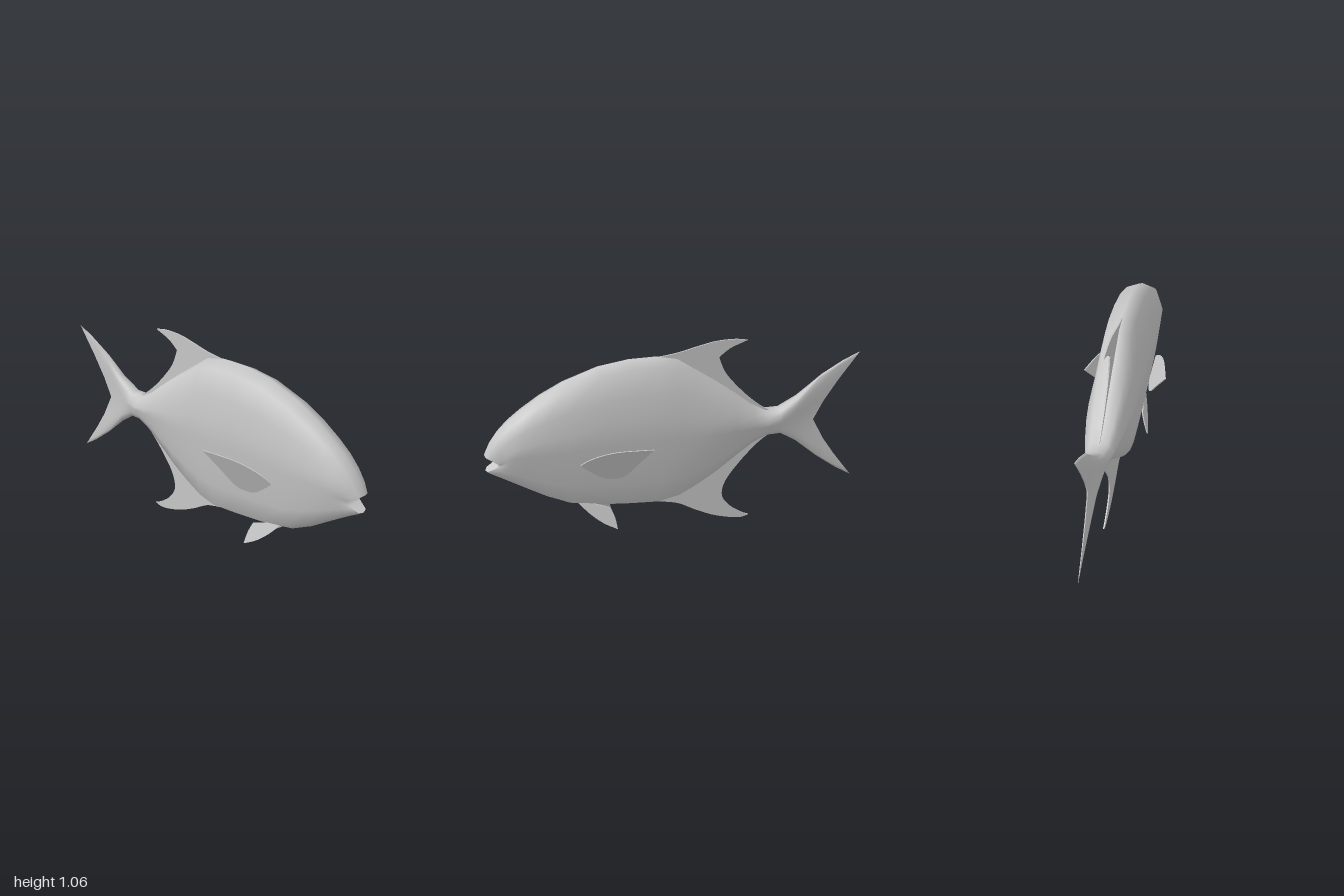
import * as THREE from 'three';

const grey = new THREE.MeshStandardMaterial({ color: 0xc8c8c8, side: THREE.DoubleSide });
grey.name = 'silver grey';

// Half cross-section from back ridge to belly: [height -1..1, width 0..1]
const SECTION = [[1, 0], [0.92, 0.58], [0.6, 0.8], [0.28, 1], [0, 0.93], [-0.33, 0.83], [-0.6, 0.69], [-0.9, 0.53], [-1, 0]];

// Stations from mouth to tail: [z at top and bottom, top y, bottom y, z at mid height, half width]
const STATIONS = [
  [1.0, 0.565, 0.475, 0.925, 0.055], [0.975, 0.615, 0.458, 0.9, 0.07], [0.93, 0.675, 0.432, 0.88, 0.082],
  [0.87, 0.735, 0.395, 0.85, 0.092], [0.8, 0.79, 0.35, 0.8, 0.1], [0.7, 0.86, 0.285, 0.7, 0.108],
  [0.58, 0.925, 0.225, 0.58, 0.114], [0.4, 0.99, 0.19, 0.4, 0.118], [0.25, 1.012, 0.175, 0.25, 0.121],
  [0.1, 1.012, 0.165, 0.1, 0.122], [0, 0.99, 0.19, 0, 0.12], [-0.1, 0.92, 0.25, -0.1, 0.118],
  [-0.2, 0.85, 0.32, -0.2, 0.114], [-0.3, 0.775, 0.4, -0.3, 0.104], [-0.4, 0.692, 0.475, -0.4, 0.088],
  [-0.48, 0.645, 0.51, -0.48, 0.072], [-0.56, 0.65, 0.507, -0.54, 0.058], [-0.66, 0.715, 0.44, -0.6, 0.038],
  [-0.78, 0.82, 0.335, -0.66, 0.022], [-0.9, 0.89, 0.245, -0.71, 0.01], [-0.99, 0.93, 0.19, -0.75, 0.003],
];

// Body and forked tail lofted as one skin; rings bend to make the mouth and the fork
function bodyGeometry() {
  const pos = [], index = [];
  const half = SECTION.length, n = 2 * half - 2;
  const ring = ([zEnd, top, bottom, zMid, w]) => {
    for (let k = 0; k < n; k++) {
      const [t, s] = SECTION[k < half ? k : n - k];
      pos.push((k < half ? 1 : -1) * s * w,
        (top + bottom) / 2 + t * (top - bottom) / 2,
        zMid + (zEnd - zMid) * Math.pow(Math.abs(t), 1.2));
    }
  };
  STATIONS.forEach(ring);
  for (let i = 0; i < STATIONS.length - 1; i++) {
    for (let k = 0; k < n; k++) {
      const a = i * n + k, b = i * n + (k + 1) % n;
      index.push(a, b, a + n, b, b + n, a + n);
    }
  }
  // Mouth and tail-edge caps with their own vertices for a crisp edge
  for (const [station, front] of [[STATIONS[0], true], [STATIONS[STATIONS.length - 1], false]]) {
    const o = pos.length / 3;
    ring(station);
    for (let k = 0; k < half - 1; k++) {
      const r = o + k, r2 = r + 1, l = o + (n - k) % n, l2 = o + n - k - 1;
      const tris = [];
      if (k > 0) tris.push([r, l, r2]);
      if (k < half - 2) tris.push([l, l2, r2]);
      for (const [p, q, s] of tris) index.push(...(front ? [p, q, s] : [p, s, q]));
    }
  }
  const g = new THREE.BufferGeometry();
  g.setAttribute('position', new THREE.Float32BufferAttribute(pos, 3));
  g.setIndex(index);
  g.computeVertexNormals();
  return g;
}

// Thin fin from curved edges given as [z, y]; lean(z, y) gives its sideways position
function fin(name, edges, lean = () => 0, side = 1) {
  const thick = 0.007;
  const shape = new THREE.Shape();
  shape.moveTo(...edges[0][0]);
  for (const edge of edges) shape.splineThru(edge.slice(1).map(p => new THREE.Vector2(...p)));
  const g = new THREE.ExtrudeGeometry(shape, { depth: thick, bevelEnabled: false, curveSegments: 14 });
  const p = g.attributes.position;
  for (let i = 0; i < p.count; i++) {
    const z = p.getX(i), y = p.getY(i), d = p.getZ(i);
    p.setXYZ(i, side * lean(z, y) + thick / 2 - d, y, z);
  }
  g.computeVertexNormals();
  const mesh = new THREE.Mesh(g, grey);
  mesh.name = name;
  return mesh;
}

const DORSAL = [
  [[0.12, 1.005], [0, 1.02], [-0.1, 1.043], [-0.2, 1.063], [-0.3, 1.066], [-0.37, 1.055]],
  [[-0.37, 1.055], [-0.28, 1.02], [-0.22, 0.975]],
  [[-0.22, 0.975], [-0.26, 0.88], [-0.35, 0.77], [-0.44, 0.685], [-0.5, 0.645]],
  [[-0.5, 0.645], [-0.45, 0.63]], [[-0.45, 0.63], [0, 0.95]], [[0, 0.95], [0.12, 1.005]],
];
const ANAL = [
  [[0.12, 0.17], [0, 0.143], [-0.1, 0.088], [-0.2, 0.04], [-0.3, 0.01], [-0.36, 0.002], [-0.405, 0.013]],
  [[-0.405, 0.013], [-0.36, 0.035], [-0.29, 0.09], [-0.25, 0.16], [-0.27, 0.25], [-0.35, 0.36], [-0.44, 0.455], [-0.5, 0.5]],
  [[-0.5, 0.5], [-0.45, 0.53]], [[-0.45, 0.53], [0, 0.23]], [[0, 0.23], [0.12, 0.17]],
];
const PECTORAL = [
  [[0.53, 0.5], [0.49, 0.535], [0.42, 0.57], [0.33, 0.592], [0.17, 0.602]],
  [[0.17, 0.602], [0.24, 0.505], [0.3, 0.42], [0.35, 0.4], [0.42, 0.41], [0.53, 0.5]],
];
const PELVIC = [
  [[0.55, 0.26], [0.49, 0.19], [0.42, 0.13], [0.345, 0.088]],
  [[0.345, 0.088], [0.355, 0.15], [0.375, 0.205]],
  [[0.375, 0.205], [0.46, 0.235], [0.55, 0.26]],
];

export function createModel() {
  const fish = new THREE.Group();
  fish.name = 'fish';
  const body = new THREE.Mesh(bodyGeometry(), grey);
  body.name = 'bodyAndTail';
  fish.add(body, fin('dorsalFin', DORSAL), fin('analFin', ANAL));
  // Paired fins splay outward from the flanks and belly
  for (const [side, label] of [[1, 'left'], [-1, 'right']]) {
    fish.add(
      fin(label + 'PectoralFin', PECTORAL, (z, y) => 0.009 - 0.183 * z + 0.4 * y, side),
      fin(label + 'PelvicFin', PELVIC, (z, y) => 0.05 + 0.294 * (0.255 - y), side),
    );
  }
  return fish;
}
